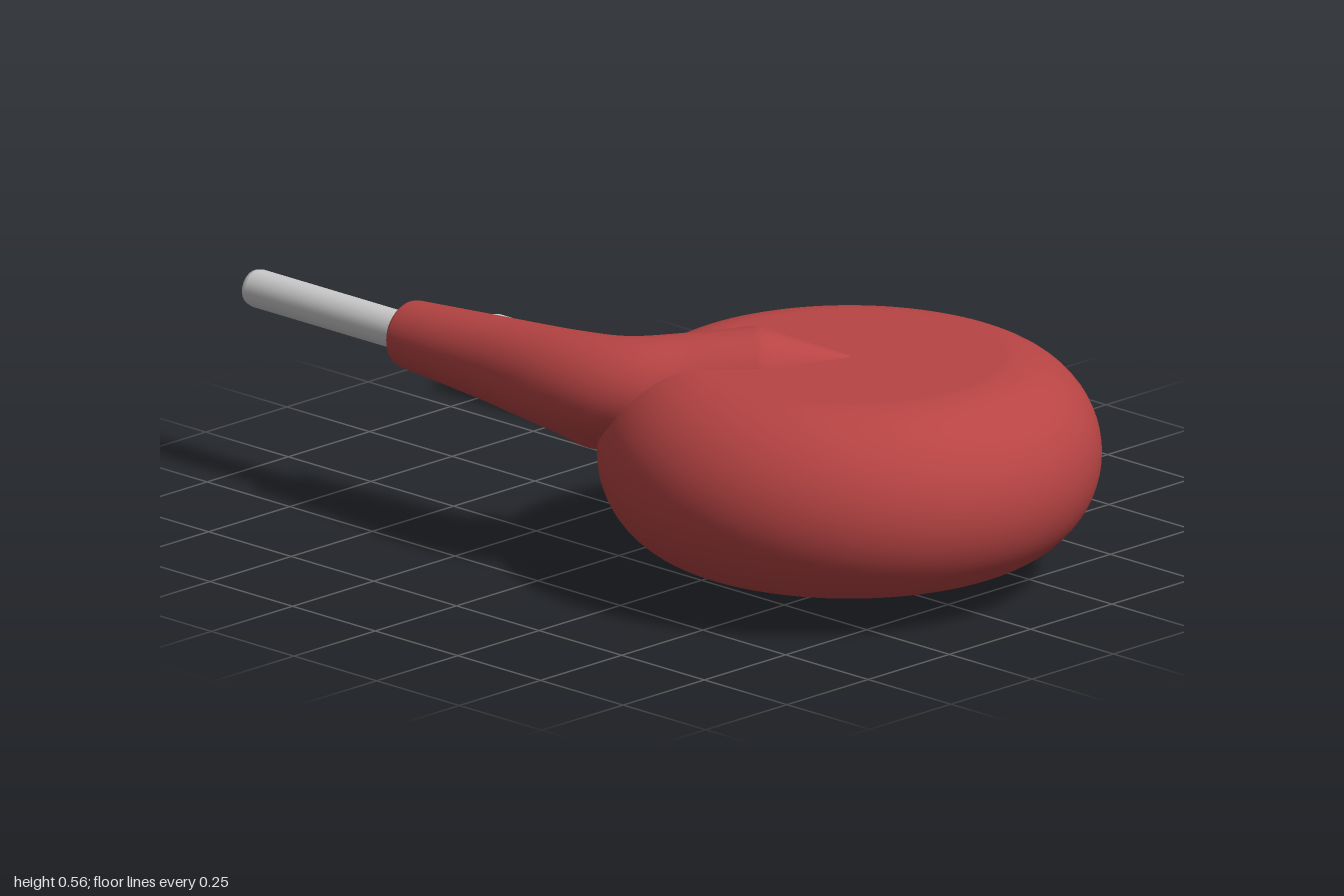
import * as THREE from 'three';

const MID_Y = 0.282;
const coat = new THREE.MeshStandardMaterial({ color: 0xb84444 });
const metal = new THREE.MeshStandardMaterial({ color: 0xcccccc });

function named(name, geometry, material) {
  const mesh = new THREE.Mesh(geometry, material);
  mesh.name = name;
  return mesh;
}

// Round disc with fully rounded rim
function makeBody() {
  const half = 0.217, flat = 0.328, profile = [new THREE.Vector2(0, -half), new THREE.Vector2(0.2, -half)];
  for (let i = 0; i <= 32; i++) {
    const a = -Math.PI / 2 + (Math.PI * i) / 32;
    profile.push(new THREE.Vector2(flat + half * Math.cos(a), half * Math.sin(a)));
  }
  profile.push(new THREE.Vector2(0.2, half), new THREE.Vector2(0, half));
  const mesh = named('discBody', new THREE.LatheGeometry(profile, 96), coat);
  mesh.position.set(0, MID_Y, 0.452);
  return mesh;
}

// Tapered sleeve: rings swept along a bent path, ending in a sloped tip on the disc face
function makeSleeve() {
  const stations = [
    [-0.363, 0.415, -0.515, 0.075], [-0.363, 0.416, -0.27, 0.093], [-0.368, 0.418, -0.03, 0.112],
    [-0.335, 0.425, 0.11, 0.114], [-0.24, 0.436, 0.21, 0.112], [-0.13, 0.45, 0.31, 0.111],
  ];
  const path = new THREE.CatmullRomCurve3(
    stations.map(([x, y, z]) => new THREE.Vector3(x, y, z)), false, 'catmullrom');
  const radii = new THREE.CatmullRomCurve3(
    stations.map(s => new THREE.Vector3(s[3], 0, 0)), false, 'catmullrom');
  const up = new THREE.Vector3(0, 1, 0);

  // Rounded outer end
  const rings = [[0, -0.53], [0.055, -0.53], [0.067, -0.527], [0.073, -0.521]].map(([r, z]) => (
    { p: new THREE.Vector3(-0.363, 0.415, z), t: new THREE.Vector3(0, 0, 1), r }));
  const steps = 50;
  for (let i = 0; i <= steps; i++) {
    const t = i / steps;
    rings.push({ p: path.getPoint(t), t: path.getTangent(t), r: radii.getPoint(t).x });
  }
  // Sloped tip
  const last = rings[rings.length - 1], tip = new THREE.Vector3(0, 0.488, 0.455);
  for (let i = 1; i <= 8; i++) {
    const k = i / 8;
    rings.push({ p: last.p.clone().lerp(tip, k), t: last.t, r: last.r * (1 - k) + 0.012 * k });
  }

  const sides = 40, positions = [], index = [];
  rings.forEach(({ p, t, r }, i) => {
    const side = new THREE.Vector3().crossVectors(up, t).normalize();
    // Swelling that blends the sleeve into the rim of the disc
    const swell = 0.75 * Math.exp(-(((p.z - 0.01) / 0.075) ** 2));
    for (let j = 0; j < sides; j++) {
      const a = (2 * Math.PI * j) / sides;
      const R = r * (1 + swell * Math.max(0, Math.cos(a + 0.6)) ** 2);
      const v = p.clone().addScaledVector(side, R * Math.cos(a)).addScaledVector(up, R * Math.sin(a));
      positions.push(v.x, v.y, v.z);
      if (i === rings.length - 1) continue;
      const b = i * sides + (j + 1) % sides, c = (i + 1) * sides + j, d = (i + 1) * sides + (j + 1) % sides;
      index.push(i * sides + j, b, c, b, d, c);
    }
  });
  const geometry = new THREE.BufferGeometry();
  geometry.setAttribute('position', new THREE.Float32BufferAttribute(positions, 3));
  geometry.setIndex(index);
  geometry.computeVertexNormals();
  return named('sleeve', geometry, coat);
}

// Straight wire with a rounded end
function makeLead() {
  const profile = [[0.042, 0], [0.042, 0.479], [0.039, 0.491], [0.031, 0.498], [0.024, 0.5], [0, 0.5]]
    .map(([r, h]) => new THREE.Vector2(r, h));
  const mesh = named('wireLead', new THREE.LatheGeometry(profile, 32), metal);
  mesh.rotation.x = -Math.PI / 2;
  mesh.position.set(-0.363, 0.415, -0.5);
  return mesh;
}

export function createModel() {
  const model = new THREE.Group();
  model.name = 'discComponent';
  model.add(makeBody());

  // The second leg is the first turned half way round the long axis
  ['rightLeg', 'leftLeg'].forEach((name, i) => {
    const leg = new THREE.Group();
    leg.name = name;
    leg.add(makeSleeve(), makeLead());
    leg.rotation.z = i * Math.PI;
    leg.position.y = i * 2 * MID_Y;
    model.add(leg);
  });
  return model;
}
